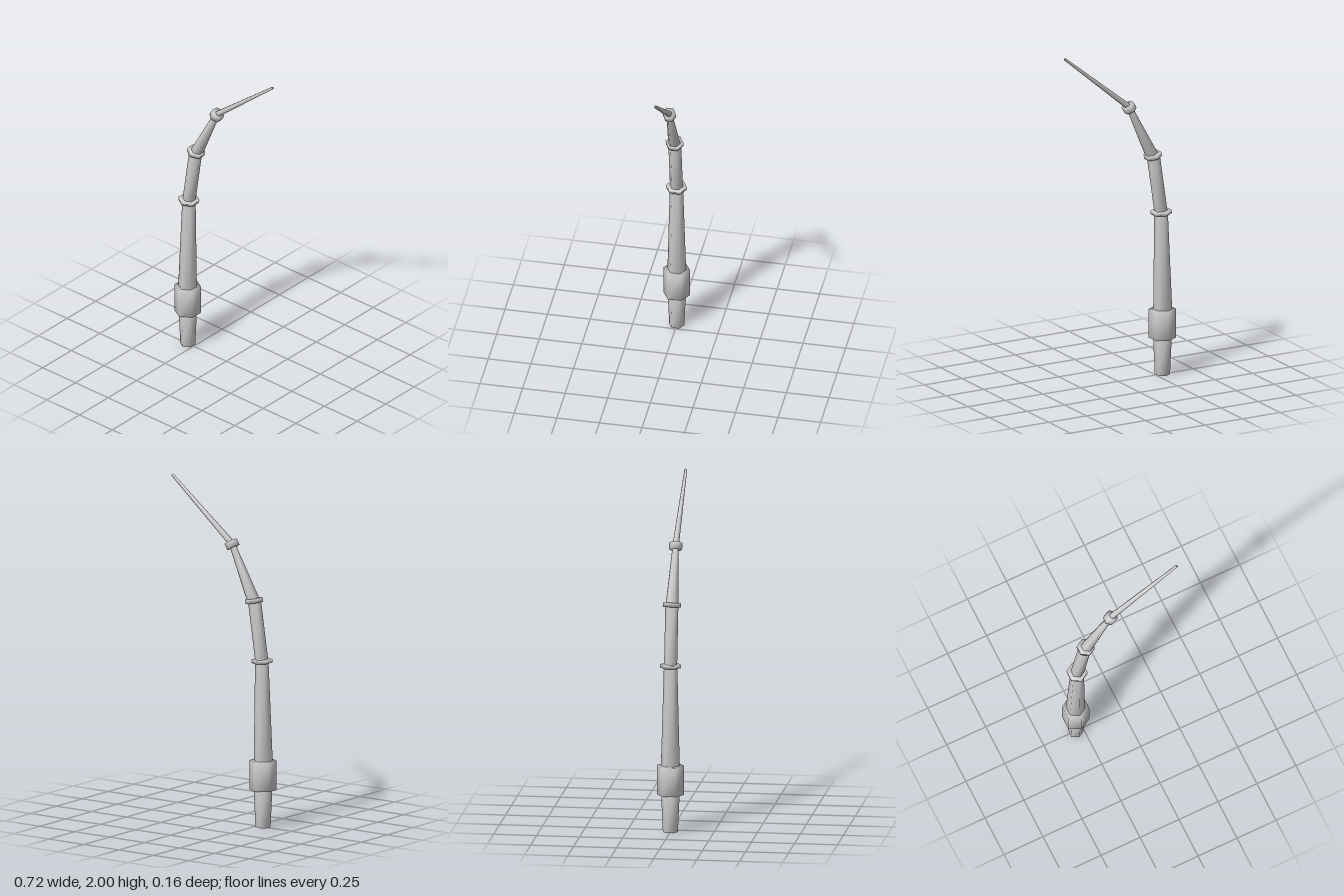
import * as THREE from 'three';
import { mergeVertices } from 'three/addons/utils/BufferGeometryUtils.js';

export function createModel() {
  const group = new THREE.Group();
  const material = new THREE.MeshStandardMaterial({ color: 0xcccccc });

  // Six-sided rod from [x, y] to [x, y] with welded, smoothly shaded corners
  function rod(name, from, to, rFrom, rTo) {
    const dx = to[0] - from[0], dy = to[1] - from[1];
    let geo = new THREE.CylinderGeometry(rTo, rFrom, Math.hypot(dx, dy), 6);
    geo.deleteAttribute('normal');
    geo.deleteAttribute('uv');
    geo = mergeVertices(geo, 1e-4);
    geo.computeVertexNormals();
    const mesh = new THREE.Mesh(geo, material);
    mesh.name = name;
    mesh.position.set((from[0] + to[0]) / 2, (from[1] + to[1]) / 2, 0);
    mesh.rotation.z = -Math.atan2(dx, dy);
    group.add(mesh);
  }

  // Ring around a joint, leaning by an angle in degrees towards +x
  function ring(name, x, y, radius, thickness, lean) {
    const a = THREE.MathUtils.degToRad(lean);
    const ox = Math.sin(a) * thickness / 2, oy = Math.cos(a) * thickness / 2;
    rod(name, [x - ox, y - oy], [x + ox, y + oy], radius, radius);
  }

  // Handle end and thick collar
  rod('handleEnd', [-0.295, 0], [-0.295, 0.23], 0.044, 0.054);
  rod('collar', [-0.295, 0.22], [-0.295, 0.392], 0.079, 0.079);

  // Shaft sections, bending further over towards the tip
  rod('lowerShaft', [-0.297, 0.38], [-0.286, 0.98], 0.055, 0.039);
  rod('middleShaft', [-0.286, 0.975], [-0.234, 1.325], 0.038, 0.038);
  rod('upperShaft', [-0.227, 1.325], [-0.076, 1.635], 0.037, 0.018);
  rod('tip', [-0.078, 1.638], [0.354, 1.994], 0.019, 0.008);

  // Joint rings
  ring('lowerRing', -0.287, 0.977, 0.061, 0.02, 3);
  ring('middleRing', -0.231, 1.326, 0.052, 0.026, 12);
  ring('upperRing', -0.073, 1.638, 0.039, 0.04, 30);

  return group;
}
